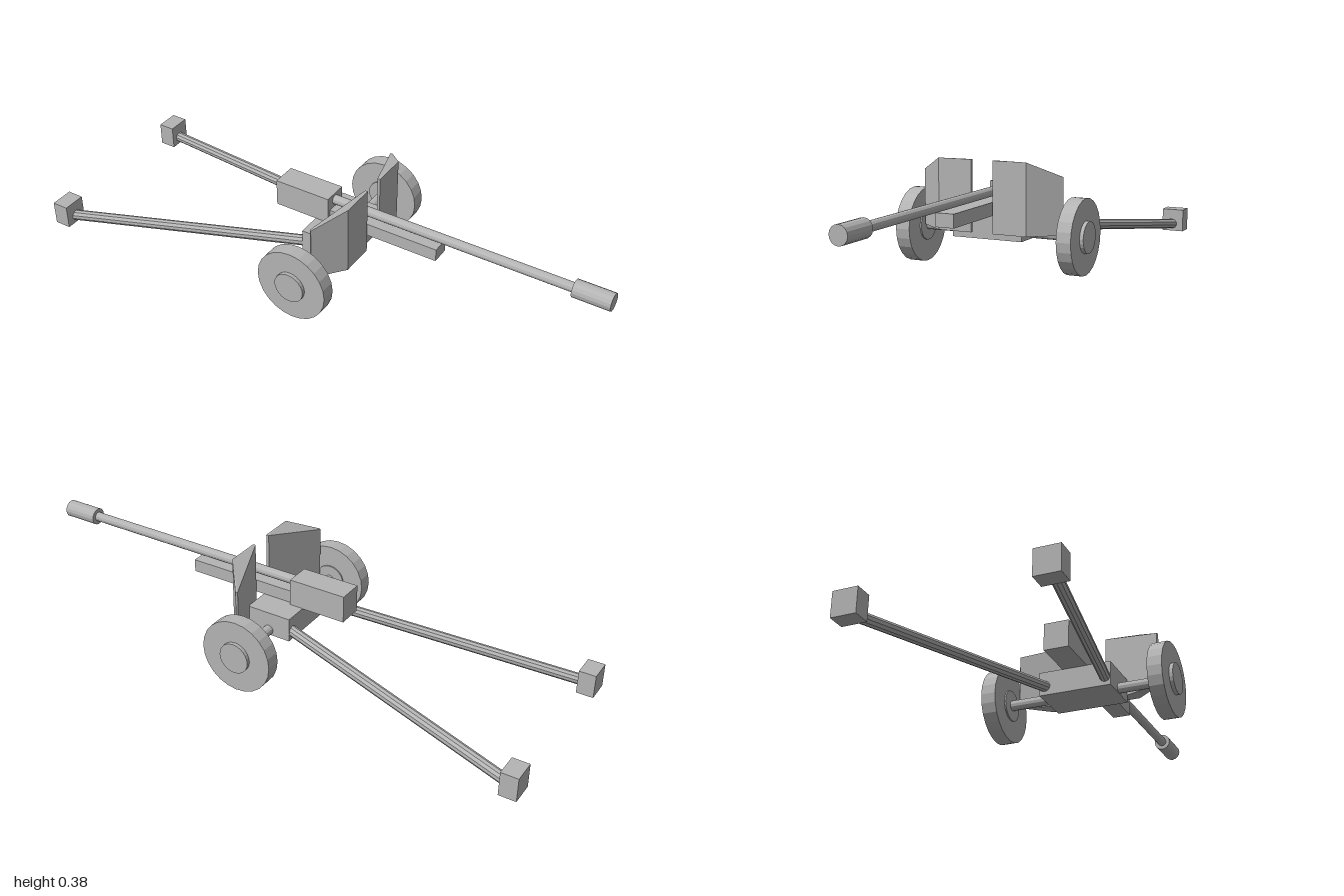
import * as THREE from 'three';
import { ConvexGeometry } from 'three/addons/geometries/ConvexGeometry.js';

export function createModel() {
  const model = new THREE.Group();
  model.name = 'fieldGun';
  const grey = new THREE.MeshStandardMaterial({ color: 0xb4b4b4, flatShading: true });
  grey.name = 'plain grey';

  const add = (name, geometry) => {
    const mesh = new THREE.Mesh(geometry, grey);
    mesh.name = name;
    model.add(mesh);
    return mesh;
  };

  // Box given by its lower and upper corners
  const box = (name, [x0, y0, z0], [x1, y1, z1]) =>
    add(name, new THREE.BoxGeometry(x1 - x0, y1 - y0, z1 - z0))
      .position.set((x0 + x1) / 2, (y0 + y1) / 2, (z0 + z1) / 2);

  // Cylinder running between two points
  const rod = (name, from, to, radius, sides) => {
    const a = new THREE.Vector3(...from);
    const b = new THREE.Vector3(...to);
    const dir = b.clone().sub(a);
    const mesh = add(name, new THREE.CylinderGeometry(radius, radius, dir.length(), sides));
    mesh.position.copy(a).add(b).multiplyScalar(0.5);
    mesh.quaternion.setFromUnitVectors(new THREE.Vector3(0, 1, 0), dir.normalize());
  };

  // Gun tube, muzzle brake, breech and recoil cradle
  rod('barrel', [-0.05, 0.27, 0], [0.88, 0.27, 0], 0.017, 12);
  rod('muzzleBrake', [0.87, 0.27, 0], [1, 0.27, 0], 0.031, 16);
  box('breech', [-0.22, 0.197, -0.045], [-0.01, 0.295, 0.045]);
  box('cradle', [-0.05, 0.197, -0.033], [0.4, 0.243, 0.033]);

  // Carriage and axle
  box('carriage', [-0.06, 0.112, -0.13], [0.105, 0.198, 0.13]);
  rod('axle', [0.022, 0.131, -0.3], [0.022, 0.131, 0.3], 0.018, 12);

  for (const s of [1, -1]) {
    const side = s > 0 ? 'Left' : 'Right';

    // Wheel with a raised hub
    rod('wheel' + side, [0.022, 0.131, s * 0.275], [0.022, 0.131, s * 0.327], 0.131, 24);
    rod('hub' + side, [0.022, 0.131, s * 0.27], [0.022, 0.131, s * 0.34], 0.055, 24);

    // Split trail and its spade
    rod('trail' + side, [-0.03, 0.148, s * 0.103], [-0.96, 0.026, s * 0.312], 0.019, 10);
    box('spade' + side, [-1, 0, s * 0.31 - 0.042], [-0.94, 0.086, s * 0.31 + 0.042]);

    // Wedge shield: plan corners as x, z and top height
    const corners = [
      [0.142, 0.04, 0.385], [0.142, 0.163, 0.385], [0.062, 0.262, 0.333],
      [0.056, 0.258, 0.333], [0.132, 0.04, 0.385],
    ];
    const points = corners.flatMap(([x, z, top]) => [
      new THREE.Vector3(x, 0.138, s * z), new THREE.Vector3(x, top, s * z),
    ]);
    add('shield' + side, new ConvexGeometry(points));
  }
  return model;
}
